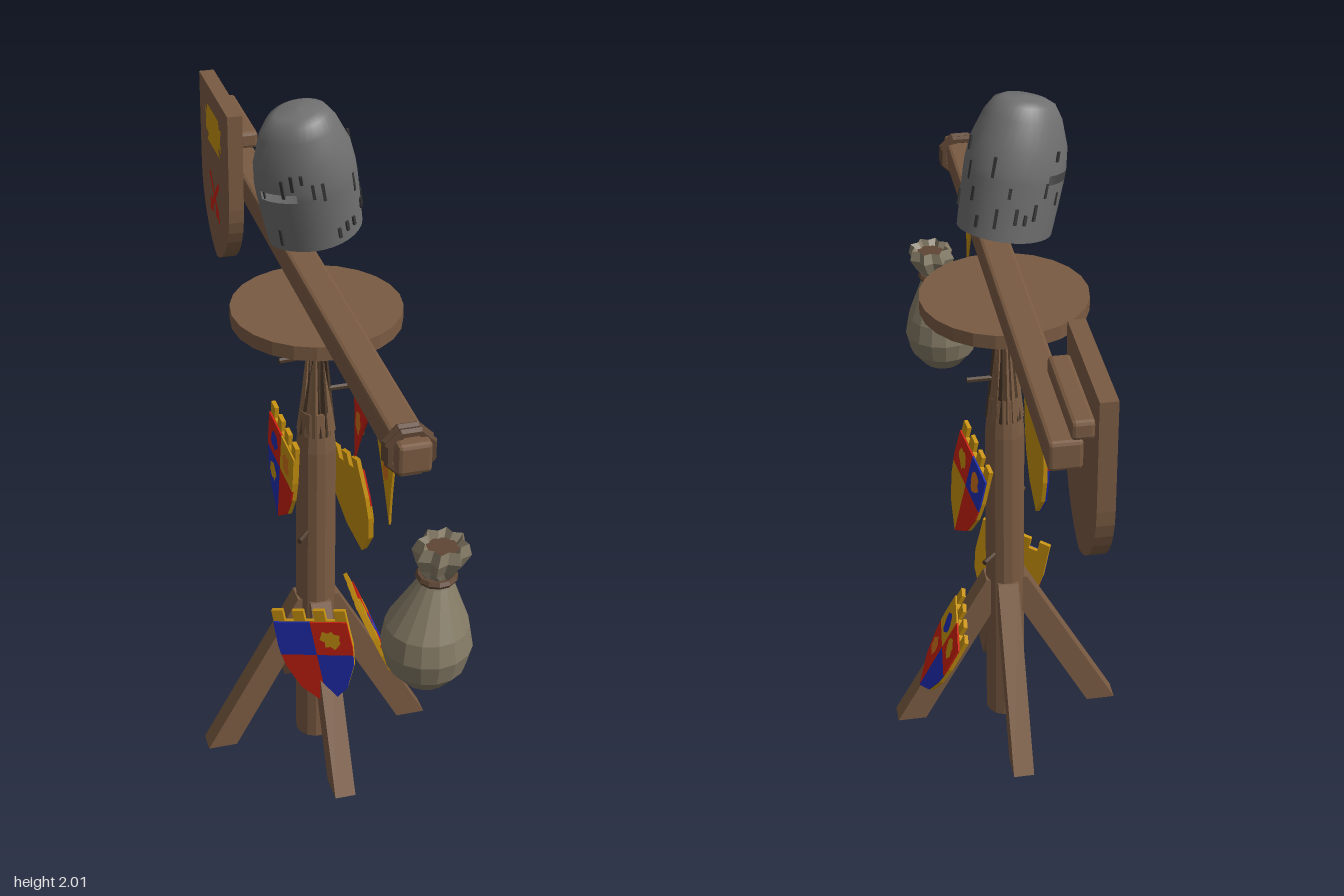
import * as THREE from 'three';
import { RoundedBoxGeometry } from 'three/addons/geometries/RoundedBoxGeometry.js';

const mat = (name, color, extra = {}) => {
  const m = new THREE.MeshStandardMaterial({ color, ...extra });
  m.name = name;
  return m;
};

export function createModel() {
  const D = { side: THREE.DoubleSide };
  const wood = mat('wood', 0x7a5b42, { flatShading: true });
  const darkWood = mat('darkWood', 0x4c3929, { flatShading: true });
  const rope = mat('rope', 0x5f4634, { flatShading: true });
  const burlap = mat('burlap', 0x857b66, { flatShading: true, ...D });
  const yellow = mat('yellow', 0xc8920f, D);
  const red = mat('red', 0xcc2010, D);
  const blue = mat('blue', 0x202eb4, D);
  const orange = mat('orange', 0xd0701a, D);
  const steel = mat('steel', 0x707070, D);
  const darkSteel = mat('darkSteel', 0x383838, D);

  let seed = 7;
  const rnd = () => (seed = (seed * 16807) % 2147483647) / 2147483647;

  const root = new THREE.Group();
  root.name = 'trainingDummy';
  // Turned frame shared by post, legs and beam
  const frame = new THREE.Group();
  frame.name = 'frame';
  frame.position.set(0.06, 0, 0.01);
  frame.rotation.y = -0.358;
  root.add(frame);

  const add = (parent, name, geo, material, x = 0, y = 0, z = 0) => {
    const m = new THREE.Mesh(geo, material);
    m.name = name;
    m.position.set(x, y, z);
    parent.add(m);
    return m;
  };
  const poly = (pts) => new THREE.Shape(pts.map(([x, y]) => new THREE.Vector2(x, y)));
  const plate = (shape, depth) =>
    new THREE.ExtrudeGeometry(shape, { depth, bevelEnabled: false, curveSegments: 8 });
  const plank = (w, h, d) => new RoundedBoxGeometry(w, h, d, 1, 0.01);
  // Worn paint patch with a ragged outline
  const blob = (rx, ry, n = 14) => new THREE.ShapeGeometry(poly(
    Array.from({ length: n }, (_, i) => {
      const a = (i / n) * Math.PI * 2, k = 0.7 + 0.45 * rnd();
      return [Math.cos(a) * rx * k, Math.sin(a) * ry * k];
    })));

  // Post with a splintered upper end
  add(frame, 'post', new THREE.CylinderGeometry(0.056, 0.058, 1, 14), wood, 0, 0.5);
  add(frame, 'postTaper', new THREE.CylinderGeometry(0.045, 0.056, 0.12, 14), wood, 0, 1.06);
  const up = new THREE.Vector3(0, 1, 0);
  for (let i = 0; i < 16; i++) {
    const a = (i / 16) * Math.PI * 2, top = 1.2 + 0.21 * rnd();
    const p = new THREE.Vector3(Math.cos(a) * 0.042, 1.05, Math.sin(a) * 0.042);
    const q = new THREE.Vector3(Math.cos(a) * 0.02, top, Math.sin(a) * 0.02);
    const len = p.distanceTo(q);
    const s = add(frame, 'splinter', new THREE.CylinderGeometry(0.002, 0.013, len, 4),
      i % 3 ? wood : darkWood);
    s.position.copy(p).add(q).multiplyScalar(0.5);
    s.quaternion.setFromUnitVectors(up, q.sub(p).normalize());
  }
  add(frame, 'pivotPin', new THREE.CylinderGeometry(0.008, 0.022, 0.34, 6), darkWood, 0, 1.23);

  // Four slanted legs
  const legGeo = plate(poly([[0.25, 0], [0.335, 0], [0.06, 0.5], [-0.02, 0.5]]), 0.06);
  legGeo.translate(0, 0, -0.03);
  for (let i = 0; i < 4; i++) add(frame, 'leg', legGeo, wood).rotation.y = (i * Math.PI) / 2;

  // Turntable and beam
  add(frame, 'turntable', new THREE.CylinderGeometry(0.23, 0.23, 0.04, 24), wood, 0, 1.417);
  add(frame, 'beam', plank(1.72, 0.08, 0.084), wood, -0.007, 1.48);
  for (const t of [0.788, 0.812])
    add(frame, 'beamRope', new THREE.TorusGeometry(0.056, 0.012, 6, 8), rope, t, 1.478)
      .rotation.set(0, Math.PI / 2, Math.PI / 8);

  // Wooden target shield at the end of the beam
  const target = new THREE.Group();
  target.name = 'targetShield';
  target.position.set(-0.83, 0, 0.042);
  frame.add(target);
  const ts = new THREE.Shape();
  ts.moveTo(-0.184, 1.713);
  ts.lineTo(-0.184, 1.42);
  ts.bezierCurveTo(-0.184, 1.31, -0.1, 1.21, 0, 1.188);
  ts.bezierCurveTo(0.1, 1.21, 0.184, 1.31, 0.184, 1.42);
  ts.lineTo(0.184, 1.713);
  add(target, 'targetBoard', plate(ts, 0.044), wood);
  add(target, 'backBatten', plank(0.3, 0.05, 0.056), wood, 0, 1.62, -0.026);
  add(target, 'paintedCrest', new THREE.ShapeGeometry(poly([
    [-0.11, 0.04], [-0.08, 0.03], [-0.075, 0.055], [0.07, 0.055], [0.08, 0.03], [0.105, 0.04],
    [0.09, 0.0], [0.1, -0.035], [0.06, -0.03], [0.08, -0.058], [-0.08, -0.06], [-0.06, -0.035],
    [-0.1, -0.03], [-0.09, 0.01]])), yellow, 0, 1.6, 0.046);
  for (const s of [-1, 1]) {
    const bar = add(target, 'paintedCross', new THREE.PlaneGeometry(0.17, 0.02), red, 0, 1.385, 0.046);
    bar.rotation.z = s * 0.82;
    add(bar, 'crossGuard', new THREE.PlaneGeometry(0.025, 0.045), red, -s * 0.05, 0, 0.001);
  }

  // Pennants hanging below the beam
  const pennant = (name, pts, m, cx, cy) => {
    const g = new THREE.Group();
    g.name = name;
    frame.add(g);
    const [a, b, c] = pts, s = new THREE.Shape();
    const curve = (p, q, dx, dy) =>
      s.quadraticCurveTo((p[0] + q[0]) / 2 + dx, (p[1] + q[1]) / 2 + dy, q[0], q[1]);
    s.moveTo(...a);
    curve(a, c, 0.012, 0);
    curve(c, b, -0.012, 0);
    curve(b, a, 0, -0.02);
    add(g, 'cloth', plate(s, 0.006), m, 0, 0, -0.003);
    for (const z of [-0.005, 0.005]) add(g, 'clothEmblem', blob(0.024, 0.036), orange, cx, cy, z);
  };
  pennant('redPennant', [[0.36, 1.413], [0.495, 1.388], [0.377, 1.196]], red, 0.412, 1.32);
  pennant('yellowPennant', [[0.552, 1.388], [0.71, 1.409], [0.676, 1.185]], yellow, 0.645, 1.33);

  // Quartered shields with battlement tops: a plain back and four thin painted faces
  const sides = [[0.11, 0.115], [0.112, 0.03], [0.102, -0.04], [0.07, -0.115], [0, -0.18]];
  const merlons = [];
  for (let i = 0; i < 4; i++) {
    const x = -0.11 + i * 0.062;
    merlons.push([x, 0.115], [x, 0.15], [x + 0.034, 0.15], [x + 0.034, 0.115]);
  }
  const outline = [...merlons, ...sides.slice(1), ...sides.slice(1, 4).reverse().map(([x, y]) => [-x, y])];
  const backGeo = plate(poly(outline), 0.012);
  const upper = [[0, 0.113], [0.11, 0.113], [0.112, 0.03], [0.109, 0], [0, 0]];
  const lower = [[0, 0], [0.109, 0], ...sides.slice(2)];
  const heraldic = (name, pos, yaw, lean, roll, colors, marks) => {
    const g = new THREE.Group();
    g.name = name;
    g.position.set(...pos);
    g.rotation.set(lean, yaw, roll, 'YXZ');
    root.add(g);
    add(g, 'shieldBack', backGeo, yellow);
    colors.forEach((c, i) => {
      const s = i % 2 ? 1 : -1;
      const pts = (i < 2 ? upper : lower).map(([x, y]) => [x * s, y]);
      add(g, 'quarter', plate(poly(pts), 0.005), c, 0, 0, 0.012);
      if (marks[i])
        add(g, 'quarterEmblem', blob(0.03, 0.032), marks[i], s * 0.052, i < 2 ? 0.055 : -0.05, 0.0185);
    });
  };
  heraldic('upperFrontShield', [0.006, 0.925, 0.075], -0.3, 0, -0.13,
    [red, yellow, blue, red], [blue, orange, yellow, null]);
  heraldic('lowerFrontShield', [0.187, 0.395, 0.09], 0.66, 0, 0.2,
    [blue, red, red, blue], [null, yellow, null, null]);
  heraldic('upperBackShield', [0.1, 0.82, -0.078], Math.PI - 0.15, -0.13, -0.2,
    [red, blue, yellow, red], [yellow, orange, null, null]);
  heraldic('lowerBackShield', [0.075, 0.28, -0.18], Math.PI - 0.4, -0.4, -0.17,
    [yellow, red, red, blue], [blue, yellow, orange, null]);

  // Pegs in the post: height, outward angle from the front
  for (const [y, a] of [[1.285, -0.3], [1.175, 2.8], [0.74, 0.5], [0.6, 3.6]]) {
    const peg = add(root, 'peg', new THREE.CylinderGeometry(0.008, 0.008, 0.09, 6), darkWood,
      0.06 + Math.sin(a) * 0.06, y, 0.01 + Math.cos(a) * 0.06);
    peg.rotation.set(Math.PI / 2, 0, -a);
  }

  // Counterweight sack with a ruffled, slightly leaning mouth
  const sackGeo = new THREE.LatheGeometry([
    [0, 0.767], [0.06, 0.782], [0.1, 0.83], [0.115, 0.89], [0.105, 0.95], [0.07, 1.02],
    [0.045, 1.07], [0.036, 1.09], [0.05, 1.12], [0.064, 1.155], [0.054, 1.185], [0.03, 1.15],
    [0, 1.12]].map(([r, y]) => new THREE.Vector2(r, y)), 16);
  const sp = sackGeo.attributes.position;
  for (let i = 0; i < sp.count; i++) {
    const x = sp.getX(i), y = sp.getY(i), z = sp.getZ(i);
    const k = y > 1.1 ? 1 + 0.14 * Math.cos(Math.atan2(z, x) * 8) : 1;
    const t = Math.max(0, y - 0.95) / 0.2;
    sp.setXYZ(i, x * k + 0.012 * t, y, z * k - 0.025 * t);
  }
  sackGeo.computeVertexNormals();
  const sack = new THREE.Group();
  sack.name = 'sack';
  sack.position.set(0.81, 0, 0.215);
  root.add(sack);
  add(sack, 'sackCloth', sackGeo, burlap);
  add(sack, 'sackTie', new THREE.TorusGeometry(0.042, 0.011, 6, 12), rope, 0.008, 1.088, -0.017)
    .rotation.x = Math.PI / 2;
  add(sack, 'sackMouth', new THREE.CircleGeometry(0.042, 10), rope, 0.014, 1.168, -0.028)
    .rotation.x = -Math.PI / 2;

  // Hollow helm from cross-sections, keeled in front, with two eye slits left open
  const helm = new THREE.Group();
  helm.name = 'helm';
  helm.position.set(0.03, 1.648, -0.015);
  helm.rotation.set(0.2, -0.25, -0.1, 'YXZ');
  root.add(helm);
  const rings = [[0, 0.112], [0.08, 0.116], [0.155, 0.119], [0.18, 0.119], [0.24, 0.113],
    [0.31, 0.091], [0.343, 0.072], [0.355, 0.05], [0.36, 0]];
  const N = 32, pos = [], idx = [];
  const onHelm = (a, r) => {
    const c = Math.cos(a), k = r * (1 + 0.14 * Math.pow(Math.max(0, c), 5));
    return [Math.sin(a) * r * 0.97, c * k * 1.06];
  };
  rings.forEach(([y, r], j) => {
    for (let i = 0; i < N; i++) {
      const [x, z] = onHelm((i / N) * Math.PI * 2, r);
      pos.push(x, y, z);
      const slit = j === 2 && ((i >= 1 && i <= 4) || (i >= N - 5 && i <= N - 2));
      if (j === rings.length - 1 || slit) continue;
      const a = j * N + i, b = j * N + ((i + 1) % N);
      idx.push(a, b, b + N, a, b + N, a + N);
    }
  });
  const helmGeo = new THREE.BufferGeometry();
  helmGeo.setAttribute('position', new THREE.Float32BufferAttribute(pos, 3));
  helmGeo.setIndex(idx);
  helmGeo.computeVertexNormals();
  add(helm, 'helmShell', helmGeo, steel);
  // Dents and scratches on the helm
  for (let i = 0; i < 26; i++) {
    const a = 0.5 + (i / 26) * 5.4, y = 0.03 + 0.2 * rnd();
    const [x, z] = onHelm(a, 0.117);
    add(helm, 'scratch', new THREE.BoxGeometry(0.008, 0.025 + 0.03 * rnd(), 0.006), darkSteel, x, y, z)
      .rotation.y = a;
  }
  return root;
}
